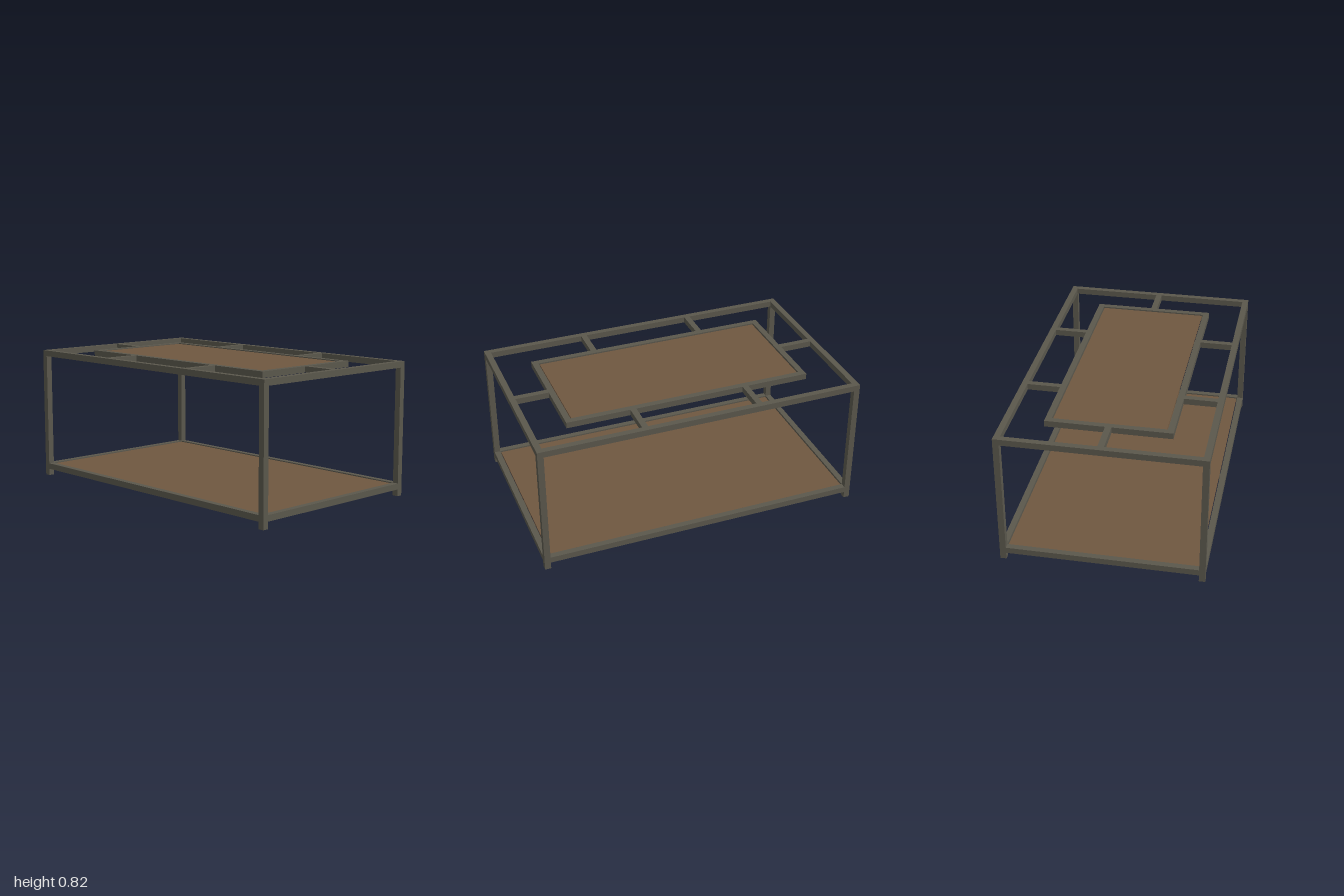
import * as THREE from 'three';

export function createModel() {
  const model = new THREE.Group();
  model.name = 'coffeeTable';

  const steel = new THREE.MeshStandardMaterial({ color: 0x5a574c });
  steel.name = 'dark steel';
  const wood = new THREE.MeshStandardMaterial({ color: 0x6f5740 });
  wood.name = 'brown wood';

  const W = 1, D = 0.605, H = 0.825, T = 0.037; // half width, half depth, height, bar size

  // box given by its minimum and maximum corners
  function bar(name, x0, x1, y0, y1, z0, z1, material = steel) {
    const mesh = new THREE.Mesh(new THREE.BoxGeometry(x1 - x0, y1 - y0, z1 - z0), material);
    mesh.position.set((x0 + x1) / 2, (y0 + y1) / 2, (z0 + z1) / 2);
    mesh.name = name;
    model.add(mesh);
  }

  // rectangular ring of bars; the long rails take the corners unless legs do
  function frame(name, w, d, top, betweenLegs) {
    const e = betweenLegs ? w - T : w;
    for (const s of [-1, 1]) {
      const z = s * (d - T / 2), x = s * (w - T / 2);
      bar(name + 'LongRail', -e, e, top - T, top, z - T / 2, z + T / 2);
      bar(name + 'ShortRail', x - T / 2, x + T / 2, top - T, top, -d + T, d - T);
    }
  }

  // wooden panel set just below the top of its frame, with a narrow gap around it
  function panel(name, w, d, top) {
    const x = w - T - 0.006, z = d - T - 0.006;
    bar(name, -x, x, top - 0.017, top - 0.005, -z, z, wood);
  }

  // support bars under a panel, crosswise at each given x and one lengthwise
  function supports(name, w, d, top, xs) {
    const y0 = top - T, y1 = top - 0.017, x = w - T, z = d - T;
    for (const c of xs) bar(name + 'CrossSupport', c - T / 2, c + T / 2, y0, y1, -z, z);
    const stops = [-x, ...xs.flatMap((c) => [c - T / 2, c + T / 2]), x];
    for (let i = 0; i < stops.length; i += 2) {
      bar(name + 'LongSupport', stops[i], stops[i + 1], y0, y1, -T / 2, T / 2);
    }
  }

  // four corner legs
  for (const sx of [-1, 1]) {
    for (const sz of [-1, 1]) {
      const x = sx * (W - T / 2), z = sz * (D - T / 2);
      bar('leg', x - T / 2, x + T / 2, 0, H, z - T / 2, z + T / 2);
    }
  }

  // lower shelf
  const shelfTop = 0.079;
  frame('shelf', W, D, shelfTop, true);
  panel('shelfPanel', W, D, shelfTop);
  supports('shelf', W, D, shelfTop, [0]);

  // outer top frame and smaller inner tabletop
  const w = 0.76, d = 0.37, c = 0.355;
  frame('top', W, D, H, true);
  frame('inner', w, d, H, false);
  panel('topPanel', w, d, H);
  supports('inner', w, d, H, [-c, c]);

  // connectors joining the inner frame to the outer one
  for (const s of [-1, 1]) {
    const x = s * (W - T + w) / 2, hx = (W - T - w) / 2;
    bar('sideConnector', x - hx, x + hx, H - T, H, -T / 2, T / 2);
    const z = s * (D - T + d) / 2, hz = (D - T - d) / 2;
    for (const cx of [-c, c]) {
      bar('longSideConnector', cx - T / 2, cx + T / 2, H - T, H, z - hz, z + hz);
    }
  }

  return model;
}
